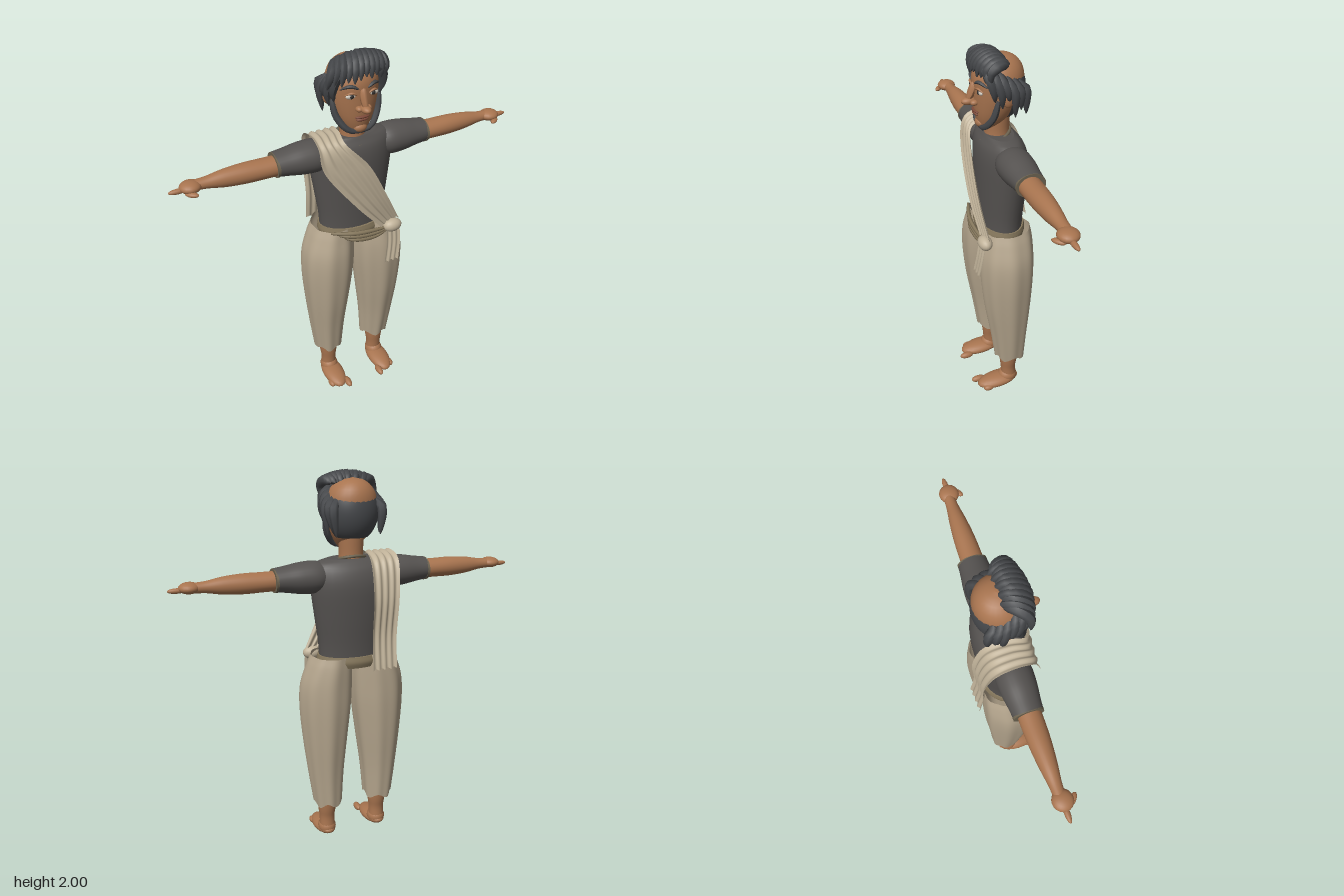
import * as THREE from 'three';

const mat = (name, color, side = THREE.FrontSide) => {
  const m = new THREE.MeshStandardMaterial({ color, side });
  m.name = name;
  return m;
};

export function createModel() {
  const skin = mat('skin', 0xa8744f), hairMat = mat('hair', 0x45474a), shirtMat = mat('shirt', 0x555250);
  const trouserMat = mat('trousers', 0xb3a48c, THREE.DoubleSide), sashMat = mat('sash', 0xc0b299, THREE.DoubleSide);
  const beltMat = mat('belt', 0x85775c), trim = mat('trim', 0x6c6350), lipMat = mat('lips', 0x7a4838);
  const eyeMat = mat('eye white', 0xcfc8bc), irisMat = mat('iris', 0x33302e);
  const model = new THREE.Group();
  const add = (name, geo, material, parent = model) => {
    const m = new THREE.Mesh(geo, material);
    m.name = name;
    parent.add(m);
    return m;
  };
  const group = (name) => {
    const g = new THREE.Group();
    g.name = name;
    model.add(g);
    return g;
  };
  const V = (p) => new THREE.Vector3(...p);

  // Smooth tube through elliptical rings [y, rx, rz, cx, cz]; warp may move each point
  function loft(rings, { seg = 28, steps = 20, cap = true, warp } = {}) {
    const size = new THREE.CatmullRomCurve3(rings.map((r) => V([r[0], r[1], r[2]])), false, 'catmullrom');
    const mid = new THREE.CatmullRomCurve3(rings.map((r) => V([r[3] || 0, r[4] || 0, 0])), false, 'catmullrom');
    const pos = [], idx = [];
    const ring = (t, k = 1) => {
      const s = size.getPoint(t), c = mid.getPoint(t);
      for (let j = 0; j < seg; j++) {
        const a = (j / seg) * Math.PI * 2;
        const p = V([c.x + Math.cos(a) * s.y * k, s.x, c.y + Math.sin(a) * s.z * k]);
        if (warp) warp(p, a, t, c);
        pos.push(p.x, p.y, p.z);
      }
    };
    const join = (r) => {
      for (let j = 0; j < seg; j++) {
        const a = r * seg + j, b = r * seg + ((j + 1) % seg);
        idx.push(a, a + seg, b, b, a + seg, b + seg);
      }
    };
    for (let i = 0; i <= steps; i++) ring(i / steps);
    for (let i = 0; i < steps; i++) join(i);
    if (cap) {
      ring(0, 0.001); ring(0); ring(1); ring(1, 0.001);
      join(steps + 1); join(steps + 3);
    }
    const g = new THREE.BufferGeometry();
    g.setAttribute('position', new THREE.Float32BufferAttribute(pos, 3));
    g.setIndex(idx);
    g.computeVertexNormals();
    return g;
  }
  const ball = (name, p, r, material, parent) => {
    const m = add(name, new THREE.SphereGeometry(1, 20, 14), material, parent);
    m.position.set(...p);
    m.scale.set(...r);
    return m;
  };
  // Tapered strand along a curve
  function strand(points, r, blunt = 0.1) {
    const c = new THREE.CatmullRomCurve3(points.map(V)), n = 10, k = 7;
    const g = new THREE.TubeGeometry(c, n, r, k), p = g.attributes.position, v = new THREE.Vector3();
    for (let i = 0; i < p.count; i++) {
      const t = Math.floor(i / (k + 1)) / n, o = c.getPointAt(t);
      v.fromBufferAttribute(p, i).sub(o).multiplyScalar(blunt + (1 - blunt) * Math.sin(Math.PI * Math.pow(t, 0.8)) ** 0.7 || blunt).add(o);
      p.setXYZ(i, v.x, v.y, v.z);
    }
    g.computeVertexNormals();
    return g;
  }
  // Pleated cloth between two edge curves
  function cloth(left, right, pleats, depth, n = 48) {
    const L = new THREE.CatmullRomCurve3(left.map(V), false, 'catmullrom');
    const R = new THREE.CatmullRomCurve3(right.map(V), false, 'catmullrom');
    const g = new THREE.PlaneGeometry(1, 1, 24, n), p = g.attributes.position;
    for (let i = 0; i < p.count; i++) {
      const u = p.getX(i) + 0.5, t = 0.5 - p.getY(i);
      const a = L.getPoint(t), q = a.clone().lerp(R.getPoint(t), u);
      const wave = Math.cos(u * pleats * Math.PI * 2) * depth;
      const out = V([0, (q.y - 1.3) * 0.6, q.z]).normalize();
      q.addScaledVector(out, wave);
      p.setXYZ(i, q.x, q.y, q.z);
    }
    g.computeVertexNormals();
    return g;
  }

  // Head, neck and face
  const head = group('head');
  add('skull', loft([[1.618, 0.03, 0.025, 0, 0.06], [1.65, 0.064, 0.06, 0, 0.038], [1.7, 0.094, 0.092, 0, 0.018],
    [1.76, 0.115, 0.113, 0, 0.003], [1.82, 0.127, 0.122, 0, -0.004], [1.88, 0.126, 0.124, 0, -0.006],
    [1.93, 0.104, 0.105, 0, -0.01], [1.965, 0.062, 0.065, 0, -0.014], [1.978, 0.01, 0.01, 0, -0.016]]), skin, head);
  add('neck', loft([[1.53, 0.072, 0.068], [1.6, 0.062, 0.062], [1.7, 0.066, 0.066]]), skin, head);
  add('noseBridge', strand([[0, 1.86, 0.108], [0, 1.81, 0.125], [0, 1.76, 0.15]], 0.02, 0.4), skin, head);
  ball('noseTip', [0, 1.765, 0.14], [0.024, 0.019, 0.038], skin, head);
  ball('upperLip', [0, 1.714, 0.108], [0.038, 0.008, 0.014], lipMat, head);
  ball('lowerLip', [0, 1.701, 0.107], [0.032, 0.009, 0.014], lipMat, head);
  ball('chin', [0, 1.65, 0.085], [0.035, 0.025, 0.025], skin, head);
  for (const s of [1, -1]) {
    ball('nostril', [s * 0.024, 1.762, 0.12], [0.016, 0.014, 0.02], skin, head);
    ball('eye', [s * 0.056, 1.825, 0.103], [0.028, 0.013, 0.011], eyeMat, head);
    ball('iris', [s * 0.056, 1.825, 0.11], [0.011, 0.011, 0.007], irisMat, head);
    add('eyelid', strand([[s * 0.026, 1.828, 0.114], [s * 0.056, 1.842, 0.113], [s * 0.088, 1.828, 0.094]], 0.006), skin, head);
    add('eyebrow', strand([[s * 0.022, 1.858, 0.118], [s * 0.06, 1.874, 0.108], [s * 0.102, 1.855, 0.078]], 0.009), hairMat, head);
    ball('ear', [s * 0.13, 1.8, -0.01], [0.016, 0.04, 0.028], skin, head);
    add('jawBeard', strand([[s * 0.125, 1.8, 0.035], [s * 0.108, 1.71, 0.055], [s * 0.06, 1.645, 0.085], [0, 1.628, 0.088]], 0.017, 0.5), hairMat, head);
  }

  // Hair: bangs, swept side locks and a shell low on the back
  const hair = group('hair');
  for (let i = -5; i <= 5; i++) {
    const x = i * 0.022, w = (i % 2) * 0.012;
    add('bang', strand([[x * 0.8 + 0.02, 1.955, -0.03 + Math.abs(w)], [x * 1.05 + 0.01, 1.99 - x * x * 2, 0.035],
      [x * 1.25 - 0.005, 1.96 - x * x * 2, 0.1 - x * x * 2], [x * 1.35 - 0.015, 1.9 + w - x * x * 2, 0.122 - x * x * 4]], 0.026), hairMat, hair);
  }
  for (const s of [1, -1]) {
    for (let i = 0; i < 6; i++) {
      const z = 0.075 - i * 0.031, top = 1.95 - i * 0.012, end = 1.79 - (i % 2) * 0.03 - (i > 2 ? 0.05 : 0);
      const k = Math.sqrt(1 - Math.pow(z / 0.15, 2));
      add('sideLock', strand([[s * 0.07, top + 0.005, z + 0.025], [s * 0.125 * (0.3 + 0.7 * k), top - 0.035, z + 0.005],
        [s * 0.148 * k, 1.84, z - 0.015], [s * 0.136 * k, end, z - 0.025]], 0.024), hairMat, hair);
    }
  }
  const shell = add('backHair', new THREE.SphereGeometry(1, 24, 12, Math.PI * 1.06, Math.PI * 0.88, Math.PI * 0.36, Math.PI * 0.42), hairMat, hair);
  shell.scale.set(0.138, 0.165, 0.134);
  shell.position.set(0, 1.82, -0.003);

  // Shirt
  const shirt = group('shirt');
  add('torso', loft([[1.04, 0.178, 0.11, 0, -0.01], [1.15, 0.182, 0.112, 0, -0.012], [1.3, 0.203, 0.12, 0, -0.016],
    [1.45, 0.222, 0.124, 0, -0.018], [1.53, 0.218, 0.11, 0, -0.014], [1.57, 0.195, 0.085, 0, -0.01],
    [1.588, 0.13, 0.07, 0, -0.005]]), shirtMat, shirt);
  const collar = add('collar', new THREE.TorusGeometry(0.076, 0.008, 8, 32), trim, shirt);
  collar.rotation.x = Math.PI / 2 + 0.35;
  collar.position.set(0, 1.575, 0.008);

  // Arms and hands
  for (const s of [1, -1]) {
    const arm = group(s > 0 ? 'leftArm' : 'rightArm');
    const along = (rings, y, z, opt) => loft(rings, opt).rotateZ(-s * Math.PI / 2).translate(0, y, z);
    add('sleeve', along([[0.12, 0.055, 0.06], [0.19, 0.08, 0.088], [0.27, 0.079, 0.088], [0.35, 0.066, 0.078], [0.408, 0.058, 0.072]], 1.502, -0.01), shirtMat, arm);
    add('cuff', along([[0.4, 0.06, 0.074], [0.412, 0.06, 0.074]], 1.5, -0.01, { steps: 1 }), trim, arm);
    add('forearm', along([[0.38, 0.05, 0.056], [0.46, 0.049, 0.056], [0.56, 0.05, 0.052], [0.66, 0.043, 0.042], [0.74, 0.029, 0.031], [0.8, 0.025, 0.028]], 1.497, -0.006), skin, arm);
    ball('palm', [s * 0.818, 1.498, 0], [0.052, 0.028, 0.05], skin, arm);
    ball('fingers', [s * 0.876, 1.489, 0], [0.046, 0.013, 0.014], skin, arm);
    ball('thumb', [s * 0.825, 1.481, 0.045], [0.034, 0.012, 0.016], skin, arm).rotation.y = s * 0.7;
  }

  // Trousers with soft vertical folds, then shins and bare feet
  for (const s of [1, -1]) {
    const leg = group(s > 0 ? 'leftLeg' : 'rightLeg');
    const folds = (p, a, t, c) => {
      const k = 1 + 0.03 * Math.sin(a * 8 + s) * (1 - 0.4 * t);
      p.x = c.x + (p.x - c.x) * k;
      p.z = c.y + (p.z - c.y) * k;
      p.y += 0.012 * Math.cos(a * 5) * Math.pow(1 - t, 6);
    };
    add('trouserLeg', loft([[0.235, 0.078, 0.085, s * 0.148, -0.024], [0.42, 0.097, 0.103, s * 0.153, -0.016],
      [0.62, 0.12, 0.127, s * 0.152, -0.008], [0.8, 0.137, 0.14, s * 0.148, -0.004], [0.93, 0.137, 0.14, s * 0.142, -0.004],
      [1.03, 0.12, 0.13, s * 0.128, -0.01], [1.09, 0.105, 0.12, s * 0.116, -0.012]],
    { seg: 64, steps: 28, cap: false, warp: folds }), trouserMat, leg);
    add('shin', loft([[0.06, 0.044, 0.044, s * 0.15, -0.018], [0.13, 0.042, 0.042, s * 0.15, -0.014],
      [0.2, 0.05, 0.05, s * 0.15, -0.015], [0.34, 0.058, 0.058, s * 0.15, -0.015]]), skin, leg);
    ball('foot', [s * 0.15, 0.045, 0.05], [0.06, 0.035, 0.122], skin, leg).rotation.x = 0.07;
    ball('ankle', [s * 0.15, 0.065, -0.01], [0.05, 0.048, 0.055], skin, leg);
    ball('bigToe', [s * 0.104, 0.036, 0.155], [0.019, 0.019, 0.04], skin, leg);
    ball('smallToe', [s * 0.192, 0.034, 0.12], [0.018, 0.017, 0.03], skin, leg);
  }

  // Belt with twisted front strands
  const belt = group('belt');
  add('waistBand', loft([[1.03, 0.18, 0.118], [1.06, 0.19, 0.126], [1.09, 0.186, 0.12]].map((r) => [...r, 0, -0.01])), beltMat, belt);
  for (let i = 0; i < 3; i++) {
    const y = 1.078 - i * 0.019;
    add('beltStrand', strand([[-0.17 + i * 0.03, y + 0.012, 0.1], [-0.05, y - 0.004, 0.132], [0.08, y - 0.018, 0.132], [0.17, 1.05, 0.12]], 0.012, 0.4), beltMat, belt);
  }

  // Sash: across the chest, over the right shoulder and down the back
  const sash = group('sash');
  add('sashDrape', cloth(
    [[0.106, 1.07, 0.128], [-0.04, 1.235, 0.136], [-0.2, 1.45, 0.118], [-0.22, 1.575, 0.09], [-0.22, 1.605, 0],
      [-0.22, 1.565, -0.1], [-0.205, 1.4, -0.15], [-0.19, 1.2, -0.155], [-0.185, 1.03, -0.18]],
    [[0.215, 1.09, 0.115], [0.13, 1.26, 0.132], [0.03, 1.45, 0.133], [-0.08, 1.575, 0.1], [-0.075, 1.605, 0],
      [-0.065, 1.565, -0.11], [-0.06, 1.4, -0.162], [-0.055, 1.2, -0.16], [-0.05, 1.03, -0.186]], 4, 0.006, 72), sashMat, sash);
  ball('sashKnot', [0.172, 1.06, 0.128], [0.052, 0.036, 0.036], sashMat, sash);
  add('sashTail', cloth([[0.13, 1.05, 0.142], [0.125, 0.96, 0.155], [0.108, 0.86, 0.168]],
    [[0.21, 1.05, 0.138], [0.208, 0.96, 0.152], [0.192, 0.86, 0.166]], 3, 0.005, 12), sashMat, sash);

  return model;
}
